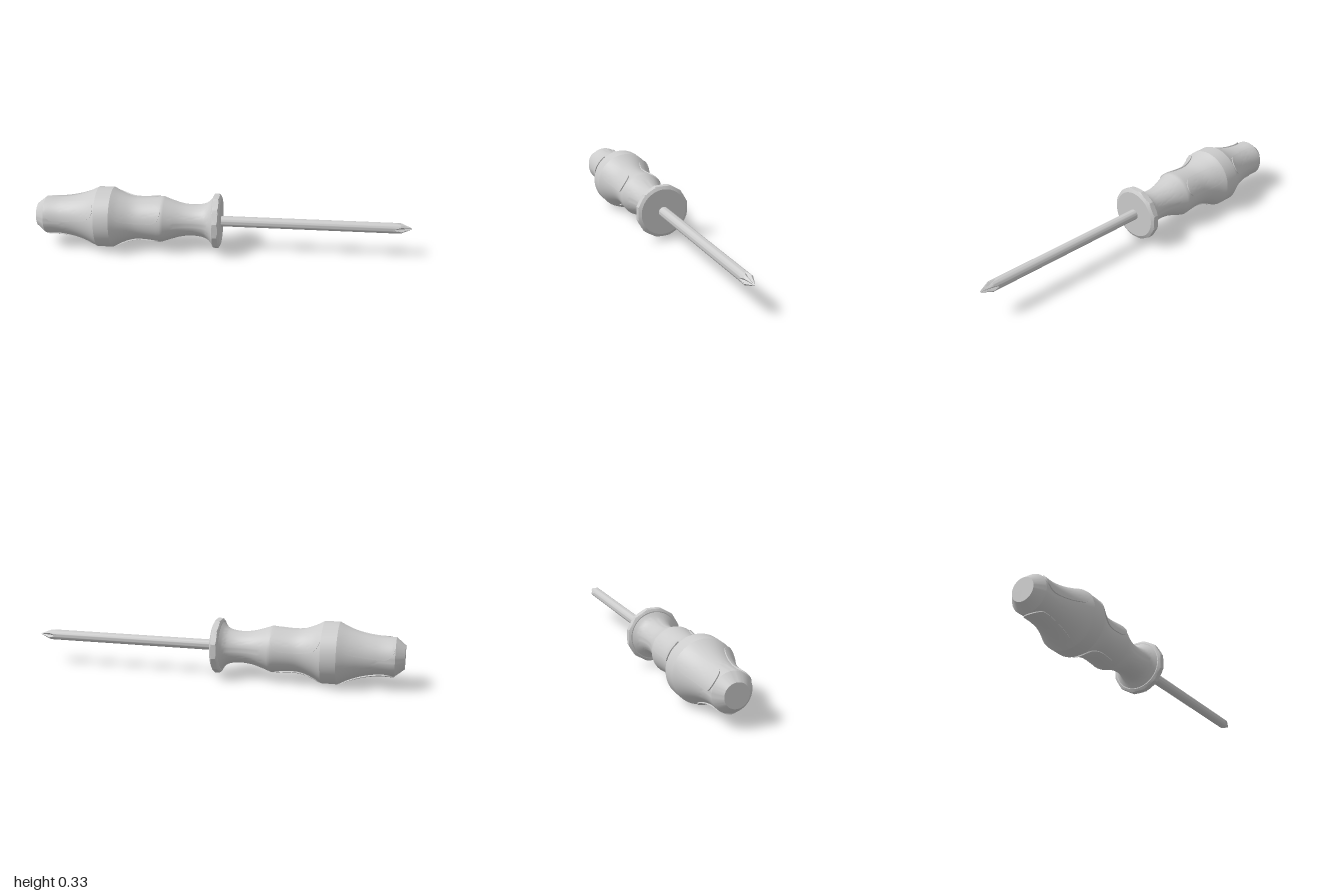
import * as THREE from 'three';
import { toCreasedNormals } from 'three/addons/utils/BufferGeometryUtils.js';

const AXIS_Y = 0.17;
const material = new THREE.MeshStandardMaterial({ color: 0xcccccc });

// Round body along x from [x, radius] rings; shape(radius, x, angle) may alter the section
function sweep(name, rings, sides, crease, shape = (r) => r) {
  const points = rings.map(([x, r]) => new THREE.Vector2(r, x));
  const geo = new THREE.LatheGeometry(points, sides);
  const p = geo.attributes.position;
  for (let i = 0; i < p.count; i++) {
    const r = Math.hypot(p.getX(i), p.getZ(i));
    if (r < 1e-6) continue;
    const s = shape(r, p.getY(i), Math.atan2(p.getX(i), p.getZ(i))) / r;
    p.setX(i, p.getX(i) * s);
    p.setZ(i, p.getZ(i) * s);
  }
  geo.rotateZ(-Math.PI / 2);
  const mesh = new THREE.Mesh(toCreasedNormals(geo, crease), material);
  mesh.name = name;
  return mesh;
}

// Smooth run of the handle outline through a few points
const smooth = (pts, n) =>
  new THREE.SplineCurve(pts.map(([x, r]) => new THREE.Vector2(x, r))).getPoints(n).map((v) => [v.x, v.y]);

const outline = [
  [-1, 0.062], [-0.953, 0.1],
  ...smooth([[-0.94, 0.1], [-0.87, 0.1], [-0.79, 0.113], [-0.72, 0.136], [-0.665, 0.162]], 16),
  ...smooth([[-0.585, 0.162], [-0.54, 0.138], [-0.48, 0.117], [-0.42, 0.113], [-0.32, 0.122]], 16),
  ...smooth([[-0.315, 0.122], [-0.27, 0.106], [-0.21, 0.089], [-0.15, 0.084], [-0.1, 0.09], [-0.07, 0.104], [-0.045, 0.132]], 18),
];

function handleRadius(x) {
  const i = Math.max(1, outline.findIndex((q) => q[0] >= x));
  const [a, b] = [outline[i - 1], outline[i]];
  return THREE.MathUtils.lerp(a[1], b[1], (x - a[0]) / (b[0] - a[0]));
}

// Slightly raised pad with rounded ends, following the handle surface
function gripPad(name, x0, x1, angle) {
  const half = 0.053, nx = 28, na = 12;
  const pos = [], index = [];
  for (let i = 0; i <= nx + 2; i++) {
    const t = THREE.MathUtils.clamp((i - 1) / nx, 0, 1);
    const x = x0 + (x1 - x0) * (0.5 - 0.5 * Math.cos(Math.PI * t));
    const end = Math.min(1, Math.min(x - x0, x1 - x) / half);
    const w = half * Math.sqrt(Math.max(0, 1 - (1 - end) ** 2));
    const base = handleRadius(x);
    for (let j = 0; j <= na + 2; j++) {
      const v = THREE.MathUtils.clamp((j - 1) / na, 0, 1) * 2 - 1;
      const rim = i === 0 || j === 0 || i === nx + 2 || j === na + 2;
      const r = base + (rim ? -0.004 : 0.006);
      const a = angle + v * Math.asin(w / base);
      pos.push(x, r * Math.cos(a), r * Math.sin(a));
    }
  }
  const row = na + 3;
  for (let i = 0; i < nx + 2; i++)
    for (let j = 0; j < na + 2; j++) {
      const k = i * row + j;
      index.push(k, k + 1, k + row, k + 1, k + row + 1, k + row);
    }
  const geo = new THREE.BufferGeometry();
  geo.setAttribute('position', new THREE.Float32BufferAttribute(pos, 3));
  geo.setIndex(index);
  const mesh = new THREE.Mesh(toCreasedNormals(geo, 0.6), material);
  mesh.name = name;
  return mesh;
}

export function createModel() {
  const tool = new THREE.Group();
  tool.name = 'screwdriver';
  tool.position.y = AXIS_Y;

  tool.add(sweep('handle', [[-1, 0], ...outline], 64, 0.4));

  // Three rows of grip pads around the handle
  [56, 180, 304].forEach((deg) => {
    const a = THREE.MathUtils.degToRad(deg);
    tool.add(gripPad('rearGripPad', -0.95, -0.67, a), gripPad('frontGripPad', -0.58, -0.32, a));
  });

  // Twelve-sided guard whose corners are turned off by a conical chamfer
  const step = Math.PI / 6;
  const guardRings = [[-0.05, 0], [-0.05, 0.13]];
  for (let i = 1; i <= 4; i++) guardRings.push([-0.05 + i * 0.0025, 0.13 + i * 0.0045]);
  for (let i = 4; i >= 0; i--) guardRings.push([-0.004 - i * 0.003, 0.126 + i * 0.0055]);
  guardRings.push([-0.004, 0]);
  tool.add(sweep('guard', guardRings, 96, 0.3, (r, x, a) => {
    const off = a - Math.round(a / step) * step;
    return Math.min(r, 0.1415 / Math.cos(off));
  }));

  tool.add(sweep('shaft', [[-0.01, 0.028], [0.9, 0.028]], 32, 0.6));

  // Pointed tip with four flutes leaving a diagonal cross
  const tipRings = [[0.9, 0.028]];
  for (let i = 0; i <= 8; i++) tipRings.push([0.905 + i * 0.0045, 0.028]);
  for (let i = 1; i <= 8; i++) tipRings.push([0.941 + i * 0.0073, 0.028 - i * 0.0031]);
  tipRings.push([1, 0]);
  tool.add(sweep('crossTip', tipRings, 64, 0.5, (r, x, a) => {
    const b = a + Math.PI / 4;
    const arm = Math.max(r * 0.32, 0.0205 - Math.max(0, x - 0.905) * 0.32);
    return Math.min(r, arm / Math.max(1e-3, Math.min(Math.abs(Math.sin(b)), Math.abs(Math.cos(b)))));
  }));

  const model = new THREE.Group();
  model.name = 'model';
  model.add(tool);
  return model;
}
